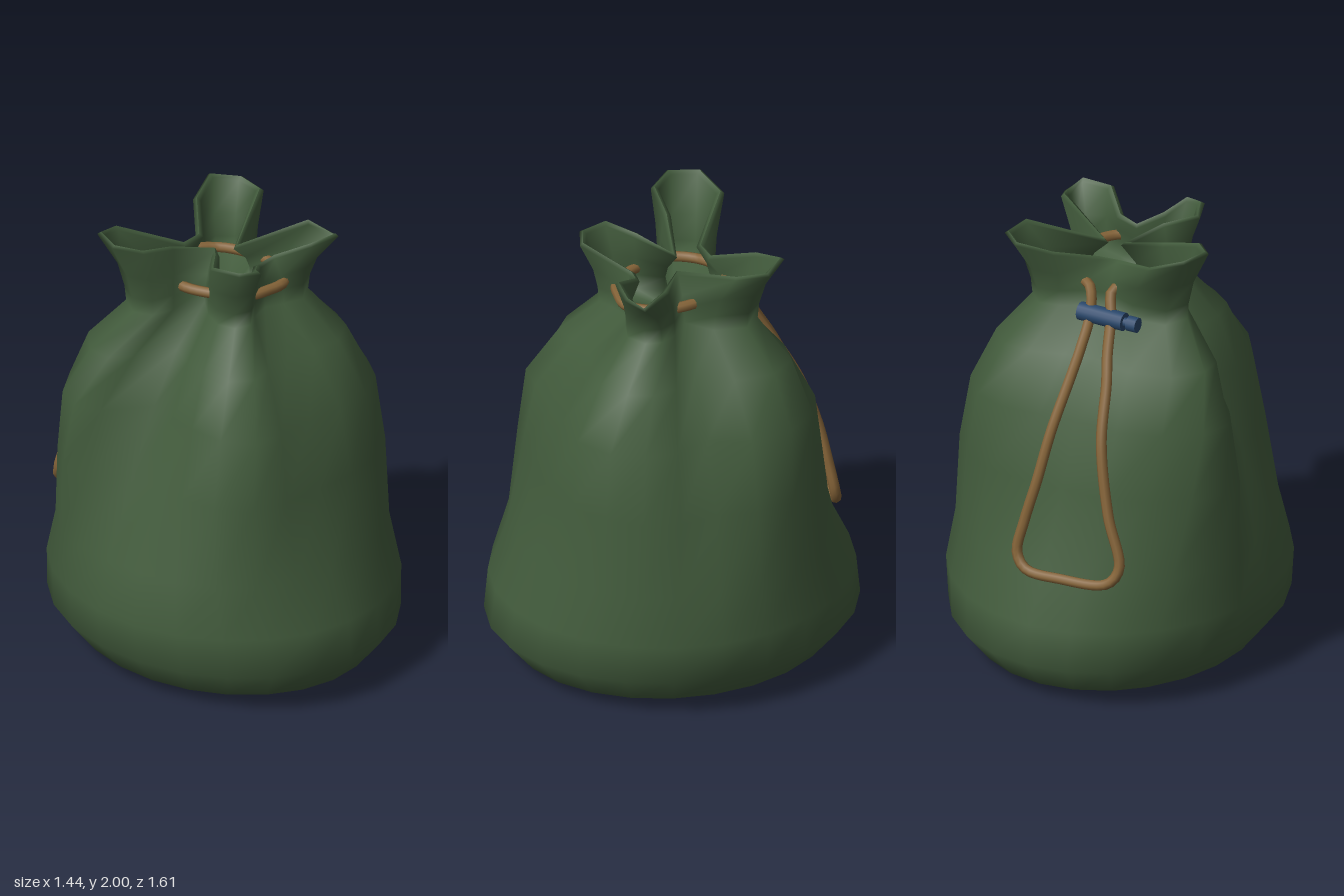
import * as THREE from 'three';

const fabric = new THREE.MeshStandardMaterial({ color: 0x425b3c });
fabric.name = 'green fabric';
const rope = new THREE.MeshStandardMaterial({ color: 0x846338 });
rope.name = 'tan rope';
const plastic = new THREE.MeshStandardMaterial({ color: 0x2a486c });
plastic.name = 'blue plastic';

const N = 24;

// Four-lobed mouth outline [x, y, z]; every sixth point is a pinched valley
const RIM = [
  [0.09, 1.84, 0], [0.36, 1.92, 0.13], [0.41, 1.88, 0.25], [0.36, 1.92, 0.325], [0.21, 1.92, 0.32], [0.10, 1.86, 0.21],
  [0.03, 1.84, 0.20], [-0.05, 1.88, 0.28], [-0.12, 1.93, 0.37], [-0.22, 1.94, 0.34], [-0.27, 1.94, 0.21], [-0.16, 1.92, 0.10],
  [-0.05, 1.86, -0.01], [-0.25, 1.93, -0.04], [-0.42, 1.97, -0.04], [-0.51, 1.99, -0.14], [-0.47, 1.99, -0.28], [-0.32, 1.95, -0.335],
  [-0.08, 1.85, -0.17], [0.00, 1.85, -0.18], [0.13, 1.91, -0.34], [0.28, 1.95, -0.41], [0.385, 1.94, -0.31], [0.37, 1.94, -0.16],
];

// Gathered neck outline [x, z]
const NECK = [
  [0.17, 0], [0.26, 0.07], [0.30, 0.14], [0.29, 0.21], [0.21, 0.265], [0.12, 0.245],
  [0.04, 0.215], [-0.05, 0.25], [-0.11, 0.29], [-0.18, 0.27], [-0.21, 0.19], [-0.18, 0.10],
  [-0.12, 0.01], [-0.26, -0.03], [-0.36, -0.05], [-0.40, -0.13], [-0.35, -0.23], [-0.20, -0.25],
  [-0.06, -0.21], [0.03, -0.235], [0.13, -0.29], [0.22, -0.31], [0.29, -0.24], [0.27, -0.10],
];

// Body sections: y, rx, rz, neck blend, neck scale, x shift, fold depth
const BODY = [
  [0, 0.49, 0.57, 0, 1, 0, 0],
  [0.06, 0.59, 0.69, 0, 1, 0, 0],
  [0.20, 0.70, 0.805, 0, 1, 0, 0],
  [0.38, 0.72, 0.785, 0, 1, 0, 0],
  [0.60, 0.70, 0.70, 0.05, 2.4, -0.01, 0.15],
  [0.95, 0.70, 0.64, 0.2, 2.25, -0.02, 0.55],
  [1.25, 0.65, 0.61, 0.4, 2.0, -0.03, 0.7],
  [1.48, 0.55, 0.50, 0.7, 1.5, -0.02, 0.35],
];
// How far the side and back creases are drawn in, by outline point
const FOLD = {
  9: 0.15, 10: 0.31, 11: 0.37, 12: 0.31, 13: 0.04, 15: 0.05, 16: 0.12, 17: 0.08, 18: 0.08, 19: 0.03, 21: 0.03, 22: 0.05,
};

const loop = (fn) => Array.from({ length: N }, (_, i) => fn(i));
const mix = (a, b, t) => a + (b - a) * t;

// Moves an [x, y, z] outline inward by d in plan, and up by dy
function inset(points, d, dy) {
  return points.map((p, i) => {
    const a = points[(i + N - 1) % N], b = points[(i + 1) % N];
    const tx = b[0] - a[0], tz = b[2] - a[2], len = Math.hypot(tx, tz) || 1;
    return [p[0] - (tz / len) * d, p[1] + dy, p[2] + (tx / len) * d];
  });
}

function bodyLoop([y, rx, rz, w, s, shift, fold]) {
  return loop((i) => {
    const a = (i / N) * Math.PI * 2;
    const k = 1 - fold * (FOLD[i] || 0);
    const x = mix(Math.cos(a) * rx, NECK[i][0] * s, w) + shift;
    const z = mix(Math.sin(a) * rz, NECK[i][1] * s, w);
    return [x * k, y, z * k];
  });
}

const neckLoop = (y) => loop((i) => [NECK[i][0], y, NECK[i][1]]);
const flareLoop = (t, ty) => loop((i) => [
  mix(NECK[i][0], RIM[i][0], t), mix(1.72, RIM[i][1], ty), mix(NECK[i][1], RIM[i][2], t),
]);
const pointLoop = (y) => loop(() => [0, y, 0]);

// Joins the loops into one smooth skin
function skin(loops) {
  const index = [];
  for (let j = 0; j < loops.length - 1; j++) {
    for (let i = 0; i < N; i++) {
      const a = j * N + i, b = j * N + (i + 1) % N, c = a + N, d = b + N;
      index.push(a, c, b, c, d, b);
    }
  }
  const geo = new THREE.BufferGeometry();
  geo.setAttribute('position', new THREE.Float32BufferAttribute(loops.flat(2), 3));
  geo.setIndex(index);
  geo.computeVertexNormals();
  return geo;
}

export function createModel() {
  const group = new THREE.Group();
  group.name = 'drawstringBag';

  // Base, outer wall and flared mouth
  const outer = new THREE.Mesh(skin([
    pointLoop(0), ...BODY.map(bodyLoop),
    neckLoop(1.65), flareLoop(0.06, 0), flareLoop(0.3, 0.42), RIM, inset(RIM, 0.016, 0.01),
  ]), fabric);
  outer.name = 'bagBody';

  // Inside of the mouth, closed below the neck
  const inner = new THREE.Mesh(skin([
    inset(RIM, 0.016, 0.01), inset(RIM, 0.034, -0.004), inset(flareLoop(0.3, 0.42), 0.022, 0),
    inset(flareLoop(0.06, 0), 0.02, 0), inset(neckLoop(1.65), 0.02, 0), pointLoop(1.62),
  ]), fabric);
  inner.name = 'mouthLining';
  group.add(outer, inner);

  // One cord: around the neck, then out through the lock as a hanging loop
  const neckPath = [
    [0.01, -0.24], [0.13, -0.17], [0.2, 0], [0.19, 0.15], [0.12, 0.242], [0.03, 0.247],
    [-0.07, 0.225], [-0.17, 0.1], [-0.215, -0.03], [-0.17, -0.15], [-0.09, -0.22],
  ].map(([x, z]) => [x, 1.75, z]);
  const hangingPath = [
    [-0.12, 1.65, -0.29], [-0.15, 1.52, -0.375], [-0.18, 1.42, -0.435],
    [-0.22, 1.2, -0.55], [-0.29, 0.9, -0.615], [-0.36, 0.68, -0.645], [-0.32, 0.61, -0.675],
    [-0.1, 0.59, -0.7], [0.06, 0.60, -0.707], [0.11, 0.66, -0.69], [0.09, 0.8, -0.665],
    [0.05, 0.98, -0.63], [0.02, 1.2, -0.555], [-0.01, 1.42, -0.435], [-0.02, 1.52, -0.375],
    [-0.02, 1.65, -0.29],
  ];
  const path = [...neckPath, ...hangingPath].map((p) => new THREE.Vector3(...p));
  const cord = new THREE.Mesh(
    new THREE.TubeGeometry(new THREE.CatmullRomCurve3(path, true), 150, 0.023, 8, true), rope);
  cord.name = 'drawCord';
  group.add(cord);

  // Cord lock: barrel, stem and push button
  const lock = new THREE.Group();
  lock.name = 'cordLock';
  for (const [name, x0, x1, r] of [
    ['lockBarrel', -0.185, 0.03, 0.04], ['lockStem', -0.215, -0.18, 0.02], ['lockButton', -0.25, -0.205, 0.033],
  ]) {
    const part = new THREE.Mesh(new THREE.CylinderGeometry(r, r, x1 - x0, 14).rotateZ(Math.PI / 2), plastic);
    part.position.set((x0 + x1) / 2, 1.65, -0.288);
    part.name = name;
    lock.add(part);
  }
  group.add(lock);
  return group;
}
